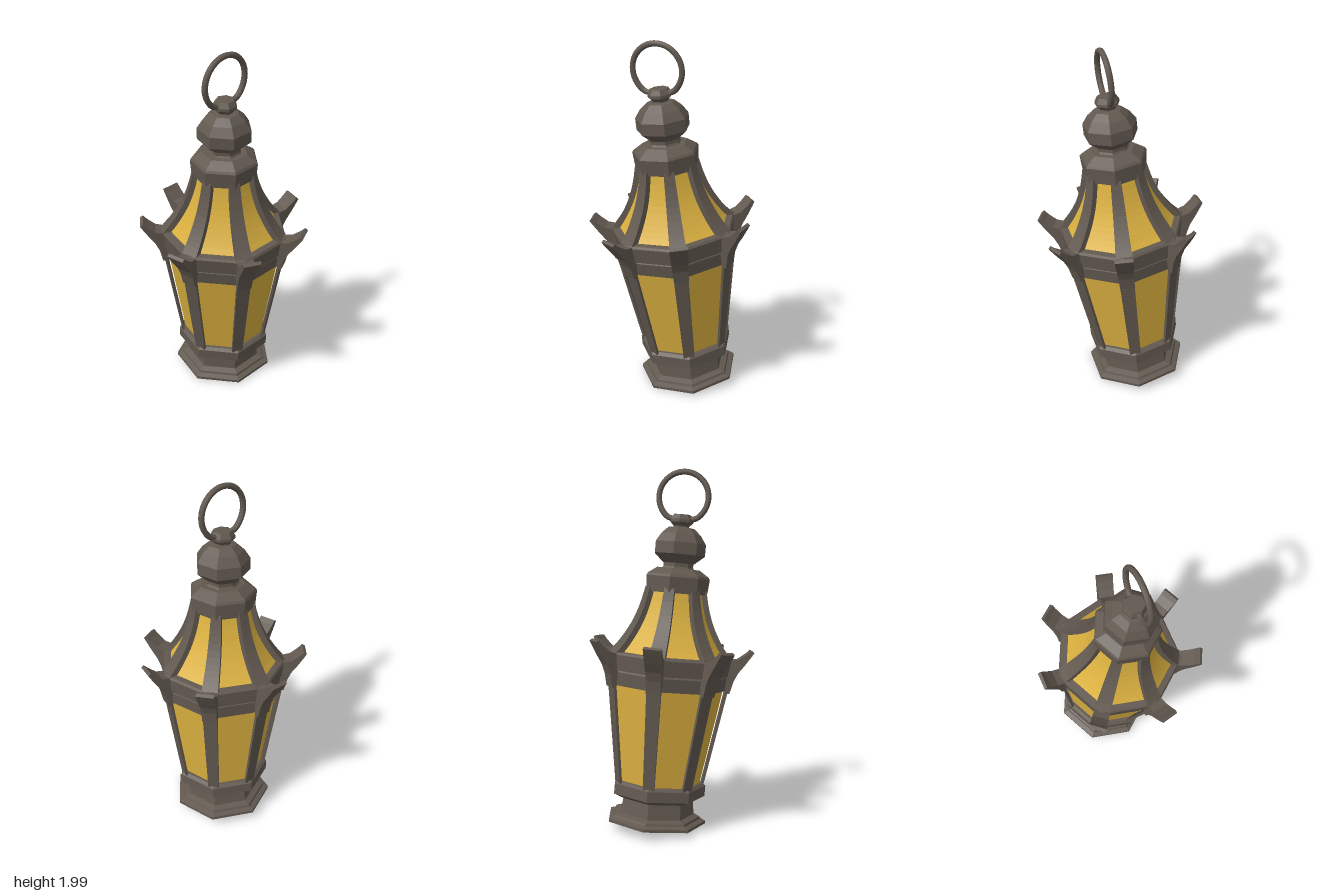
import * as THREE from 'three';

const SIDES = 7;

export function createModel() {
  const metal = new THREE.MeshStandardMaterial({ color: 0x625950 });
  metal.name = 'dark metal';
  const amber = new THREE.MeshStandardMaterial({ color: 0xdab03f });
  amber.name = 'amber glass';

  const model = new THREE.Group();
  model.name = 'lantern';
  // the whole lantern leans slightly to one side and forward
  const body = new THREE.Group();
  body.name = 'leaningBody';
  body.position.set(0.068, 0.03, -0.066);
  body.rotation.set(0.081, 0, 0.074);
  model.add(body);

  function add(name, geometry, material, parent = body) {
    const mesh = new THREE.Mesh(geometry, material);
    mesh.name = name;
    parent.add(mesh);
    return mesh;
  }

  function faceted(geometry) {
    const g = geometry.index ? geometry.toNonIndexed() : geometry;
    g.computeVertexNormals();
    return g;
  }

  // seven-sided turned part from [radius, height] points, corner at the back
  function turned(name, profile, material = metal) {
    const pts = profile.map(([r, y]) => new THREE.Vector2(r, y));
    return add(name, faceted(new THREE.LatheGeometry(pts, SIDES, Math.PI)), material);
  }

  // bar lofted from sections [outerR, outerY, innerR, innerY, width]
  function bar(sections) {
    const pos = [];
    const rings = sections.map(([ro, yo, ri, yi, w]) => [
      [-w / 2, yo, ro], [w / 2, yo, ro], [w / 2, yi, ri], [-w / 2, yi, ri]]);
    const quad = (a, b, c, d) => pos.push(...a, ...b, ...c, ...a, ...c, ...d);
    for (let i = 0; i < rings.length - 1; i++) {
      const p = rings[i], q = rings[i + 1];
      for (let k = 0; k < 4; k++) {
        const n = (k + 1) % 4;
        quad(p[k], p[n], q[n], q[k]);
      }
    }
    const first = rings[0], last = rings[rings.length - 1];
    quad(first[3], first[2], first[1], first[0]);
    quad(...last);
    const g = new THREE.BufferGeometry();
    g.setAttribute('position', new THREE.Float32BufferAttribute(pos, 3));
    g.computeVertexNormals();
    return g;
  }

  // repeat a part at every corner
  function aroundCorners(name, geometry) {
    const group = new THREE.Group();
    group.name = name + 's';
    for (let i = 0; i < SIDES; i++) {
      add(name, geometry, metal, group).rotation.y = Math.PI + (i * 2 * Math.PI) / SIDES;
    }
    body.add(group);
  }

  // stepped foot and lower collar
  turned('foot', [[0, 0], [0.2, 0], [0.205, -0.004], [0.285, -0.004], [0.285, 0.012],
    [0.255, 0.022], [0.25, 0.034], [0.215, 0.046], [0.205, 0.13], [0.225, 0.14], [0, 0.14]]);
  turned('lowerCollar', [[0, 0.13], [0.215, 0.13], [0.268, 0.155], [0.268, 0.213],
    [0.25, 0.228], [0, 0.228]]);

  // tapered glass body
  turned('bodyGlass', [[0.232, 0.22], [0.32, 0.79]], amber);

  // double band below the roof
  turned('lowerBand', [[0.305, 0.762], [0.335, 0.762], [0.346, 0.835], [0.335, 0.85], [0.3, 0.85]]);
  turned('upperBand', [[0.3, 0.845], [0.352, 0.845], [0.364, 0.93], [0.355, 0.942], [0.3, 0.946]]);

  // concave glass roof
  const roofCurve = new THREE.CatmullRomCurve3([[0.326, 0.935], [0.29, 0.98], [0.245, 1.05],
    [0.205, 1.13], [0.175, 1.22], [0.155, 1.31]].map(([r, y]) => new THREE.Vector3(r, y, 0)));
  const roofPoints = roofCurve.getPoints(12);
  turned('roofGlass', roofPoints.map(p => [p.x, p.y]), amber);

  // roof ribs following the glass curve
  aroundCorners('roofRib', bar(roofPoints.map((p, i) => {
    const t = i / (roofPoints.length - 1);
    return [p.x + 0.017, p.y + 0.008 * (1 - t), p.x - 0.012, p.y - 0.008, 0.09 - 0.035 * t];
  })));

  // flat posts standing a little proud of the glass
  aroundCorners('post', bar([
    [0.252, 0.215, 0.238, 0.215, 0.062],
    [0.345, 0.79, 0.33, 0.79, 0.08]]));

  // clamps over the lower band and flared horns above them
  aroundCorners('clamp', bar([
    [0.35, 0.75, 0.325, 0.75, 0.08],
    [0.372, 0.845, 0.325, 0.85, 0.085]]));
  aroundCorners('horn', bar([
    [0.366, 0.82, 0.33, 0.83, 0.084],
    [0.388, 0.87, 0.335, 0.935, 0.088],
    [0.42, 0.915, 0.385, 0.945, 0.092],
    [0.455, 0.97, 0.43, 0.98, 0.096],
    [0.468, 0.992, 0.452, 1.003, 0.097]]));

  // cap, neck, bulb and small finial
  turned('cap', [[0, 1.285], [0.178, 1.285], [0.186, 1.372], [0.178, 1.385], [0.125, 1.42], [0, 1.42]]);
  turned('neck', [[0.1, 1.41], [0.087, 1.43], [0.087, 1.465], [0.1, 1.475]]);
  turned('bulb', [[0, 1.45], [0.09, 1.45], [0.147, 1.498], [0.147, 1.562], [0.115, 1.61],
    [0.075, 1.645], [0, 1.655]]);
  turned('finial', [[0.045, 1.64], [0.045, 1.655], [0.066, 1.675], [0.066, 1.69],
    [0.05, 1.718], [0, 1.718]]);

  // carrying loop, pinched where it meets the finial
  const loop = [[-0.03, 1.69], [-0.068, 1.712]];
  for (let i = 0; i <= 12; i++) {
    const a = -2.5 + (i * 5) / 12;
    loop.push([0.139 * Math.sin(a), 1.815 + 0.139 * Math.cos(a)]);
  }
  loop.push([0.068, 1.712], [0.03, 1.69]);
  const loopPath = new THREE.CatmullRomCurve3(
    loop.filter((p, i) => i !== 1 && i !== loop.length - 2).map(([x, y]) => new THREE.Vector3(x, y, 0)));
  add('carryingLoop', new THREE.TubeGeometry(loopPath, 48, 0.016, 8), metal);

  return model;
}
